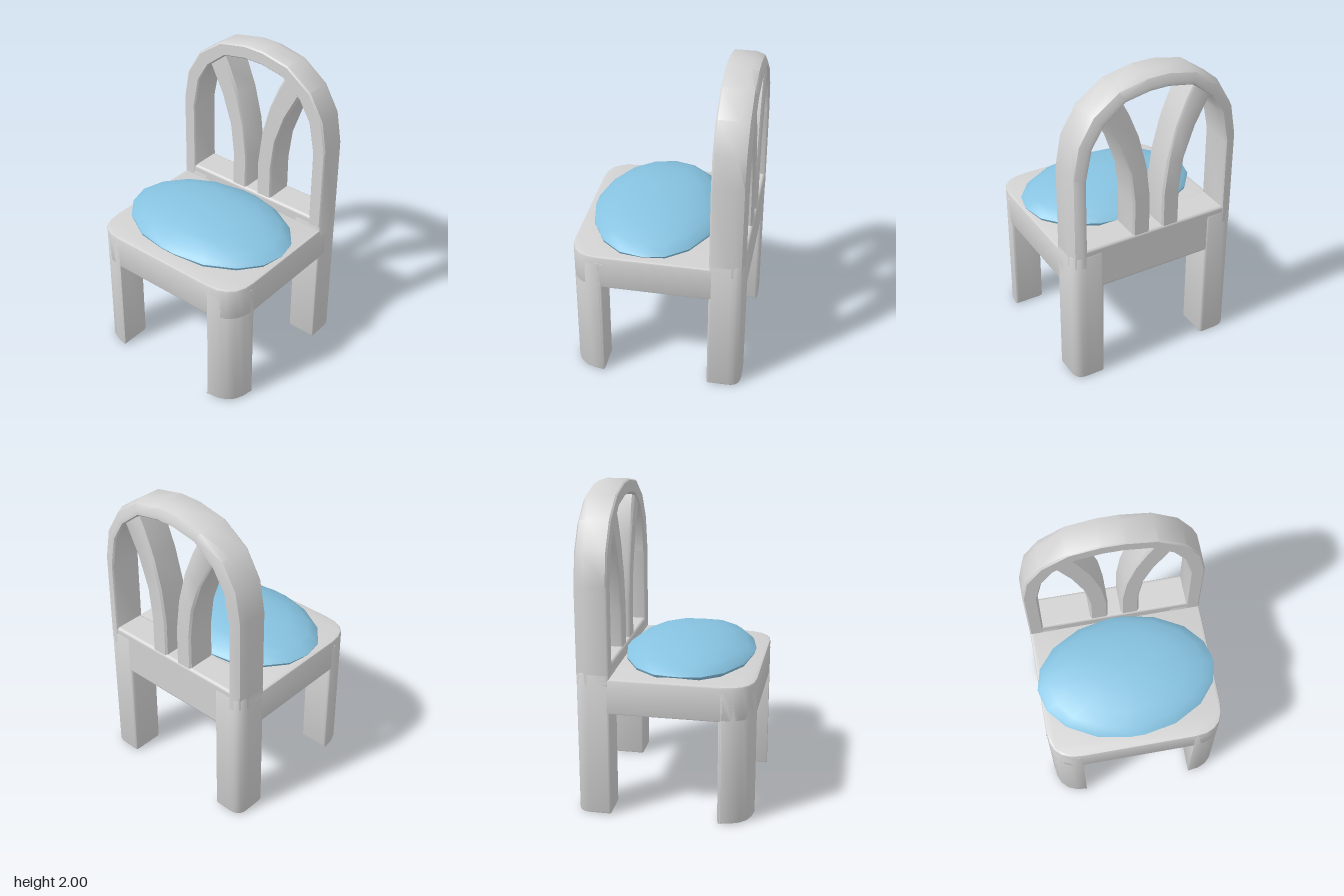
import * as THREE from 'three';
import { toCreasedNormals } from 'three/addons/utils/BufferGeometryUtils.js';
import { RoundedBoxGeometry } from 'three/addons/geometries/RoundedBoxGeometry.js';

const frameGrey = new THREE.MeshStandardMaterial({ color: 0xd2d2d2 });
frameGrey.name = 'frameGrey';
const cushionBlue = new THREE.MeshStandardMaterial({ color: 0x87c3e1 });
cushionBlue.name = 'cushionBlue';

// Skin over closed cross-section rings; each ring is a list of [x, y, z]
function loft(rings, crease) {
  const n = rings[0].length;
  const index = [];
  for (let i = 0; i < rings.length - 1; i++) {
    for (let j = 0; j < n; j++) {
      const k = (j + 1) % n;
      const a = i * n + j, b = i * n + k, c = a + n, d = b + n;
      index.push(a, c, d, a, d, b);
    }
  }
  const geo = new THREE.BufferGeometry();
  geo.setAttribute('position', new THREE.Float32BufferAttribute(rings.flat(2), 3));
  geo.setIndex(index);
  return toCreasedNormals(geo, crease);
}

// Bar between two edge lines in the x-y plane; profile is [share from outer to inner, z]
function bar(outer, inner, profile) {
  return loft(outer.map(([ox, oy], i) => {
    const [ix, iy] = inner[i];
    return profile.map(([t, z]) => [ox + (ix - ox) * t, oy + (iy - oy) * t, z]);
  }), 0.75);
}

// Upright prism from a footprint of [x, z, cornerRadius] corners
function prism(corners, y0, y1, bevel) {
  const shape = new THREE.Shape();
  const n = corners.length;
  const toward = (a, b) => {
    const len = Math.hypot(b[0] - a[0], b[1] - a[1]);
    return [a[0] + (b[0] - a[0]) * a[2] / len, a[1] + (b[1] - a[1]) * a[2] / len];
  };
  corners.forEach((c, i) => {
    const p = toward(c, corners[(i + n - 1) % n]);
    const q = toward(c, corners[(i + 1) % n]);
    if (i === 0) shape.moveTo(...p);
    else shape.lineTo(...p);
    shape.quadraticCurveTo(c[0], c[1], ...q);
  });
  shape.closePath();
  const geo = new THREE.ExtrudeGeometry(shape, {
    depth: y1 - y0 - 2 * bevel, curveSegments: 5,
    bevelSize: bevel, bevelThickness: bevel, bevelOffset: -bevel, bevelSegments: 2,
  });
  geo.rotateX(Math.PI / 2).translate(0, y1 - bevel, 0);
  return toCreasedNormals(geo, 0.7);
}

const mirrorX = (pts) => pts.map(([x, ...rest]) => [-x, ...rest]);

export function createModel() {
  const model = new THREE.Group();
  const add = (name, geo, mat = frameGrey) => {
    const mesh = new THREE.Mesh(geo, mat);
    mesh.name = name;
    model.add(mesh);
  };

  // Seat slab with broad front corners
  add('seat', prism([
    [-0.565, 0.545, 0.2], [0.565, 0.545, 0.2], [0.565, -0.42, 0.02], [-0.565, -0.42, 0.02],
  ], 0.67, 0.895, 0.012));

  // Legs, rounded on their outer corner
  const frontFoot = [[0.365, 0.335, 0.02], [0.565, 0.335, 0.02], [0.565, 0.545, 0.2], [0.365, 0.545, 0.005]];
  const backFoot = [[0.365, -0.33, 0.02], [0.565, -0.33, 0.015], [0.565, -0.545, 0.08], [0.365, -0.545, 0.02]];
  for (const [side, flip] of [['left', (p) => p], ['right', mirrorX]]) {
    add(side + 'FrontLeg', prism(flip(frontFoot), 0, 0.85, 0.012));
    add(side + 'BackLeg', prism(flip(backFoot), 0, 0.93, 0.012));
  }

  // Low rail across the back
  const rail = new RoundedBoxGeometry(1.04, 0.3, 0.21, 2, 0.02);
  rail.translate(0, 0.82, -0.437);
  add('backRail', rail);

  // Arched back frame with a soft rear outer edge
  const archOuter = [[0.565, 0.85], [0.565, 1.47], [0.53, 1.67], [0.43, 1.84], [0.26, 1.96], [0.07, 2]];
  const archInner = [[0.475, 0.85], [0.475, 1.44], [0.435, 1.64], [0.355, 1.77], [0.22, 1.88], [0.06, 1.91]];
  const across = (pts) => [...pts, ...mirrorX(pts).reverse()];
  add('backArch', bar(across(archOuter), across(archInner), [
    [0, -0.475], [0, -0.34], [0.1, -0.33], [0.9, -0.33], [1, -0.34],
    [1, -0.535], [0.9, -0.545], [0.65, -0.545], [0.2, -0.525],
  ]));

  // Two curved slats fanning out to the arch
  const slatOuter = [[0.16, 0.92], [0.16, 1.2], [0.185, 1.4], [0.255, 1.6], [0.345, 1.77], [0.375, 1.82]];
  const slatInner = [[0.043, 0.92], [0.043, 1.2], [0.07, 1.42], [0.125, 1.63], [0.19, 1.79], [0.25, 1.905]];
  const slatProfile = [
    [0, -0.525], [0, -0.355], [0.1, -0.34], [0.9, -0.34], [1, -0.355], [1, -0.525], [0.9, -0.537], [0.1, -0.537],
  ];
  add('leftSlat', bar(slatOuter, slatInner, slatProfile));
  add('rightSlat', bar(mirrorX(slatInner), mirrorX(slatOuter), slatProfile));

  // Oval cushion: [radius share, height, lift at the four tufted points]
  const quarter = [0, 20, 41, 64, 85];
  const degrees = [
    ...quarter, ...quarter.slice(1).reverse().map((d) => 180 - d),
    ...quarter.map((d) => 180 + d), ...quarter.slice(1).reverse().map((d) => 360 - d),
  ];
  const layers = [
    [0.001, 0.897, 0], [0.7, 0.897, 0], [0.9, 0.897, 0.025], [0.99, 0.922, 0.015], [1, 0.938, 0.007],
    [0.97, 0.955, 0], [0.87, 0.988, -0.008], [0.65, 1.022, -0.004], [0.4, 1.043, 0], [0.2, 1.052, 0], [0.001, 1.055, 0],
  ];
  add('cushion', loft(layers.map(([r, y, lift]) => degrees.map((d) => {
    const a = THREE.MathUtils.degToRad(d);
    const tuft = Math.max(0, Math.cos(4 * a));
    return [0.575 * r * Math.cos(a), y + lift * tuft, 0.08 + 0.41 * r * Math.sin(a)];
  })), 0.8), cushionBlue);

  return model;
}
